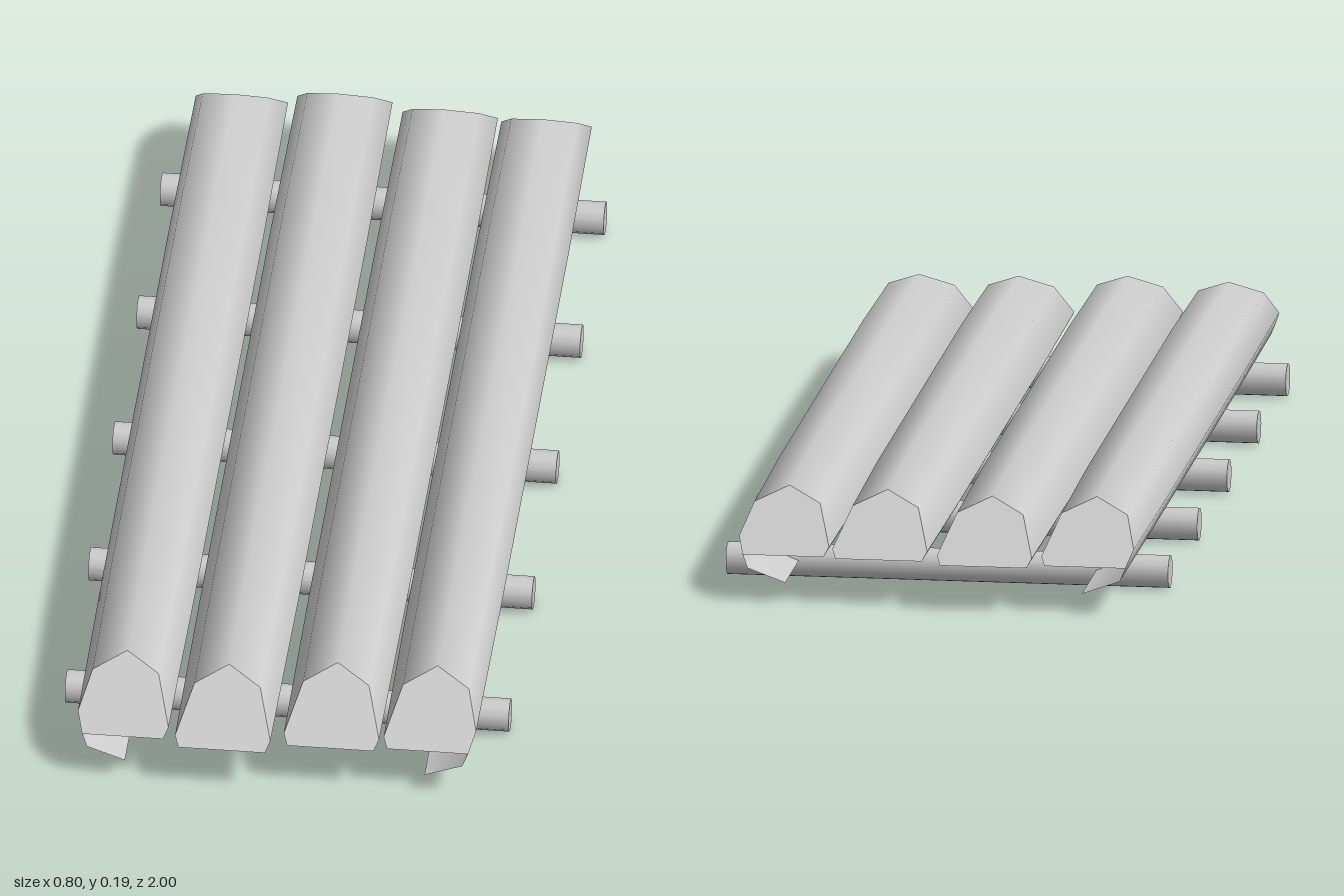
import * as THREE from 'three';

const material = new THREE.MeshStandardMaterial({ color: 0xcccccc, side: THREE.DoubleSide });

// Half-log sections, listed from the left bottom edge over the crown to the right
const innerSection = [
  [-0.08, 0.083], [-0.088, 0.097], [-0.061, 0.165], [0, 0.19],
  [0.061, 0.165], [0.088, 0.097], [0.08, 0.083],
];
// Outer logs wrap further round on their outside (-x here)
const outerSection = [
  [-0.01 + 0.02, 0.035], [-0.06, 0.06], [-0.07, 0.083], [-0.081, 0.11],
  ...innerSection.slice(2),
];
const CAP_Y = 0.083;

// The ends are sawn at a slant, furthest out at the bottom
const endZ = (y, half) => half - Math.max(y - CAP_Y, -0.005) * 1.2;

// Slight taper of the section towards the ends
function endPoint([x, y], half, side) {
  const py = y > 0.12 ? y - 0.005 : y;
  return [x * 0.975, py, side * endZ(py, half)];
}

function toMesh(name, positions, index) {
  const geometry = new THREE.BufferGeometry();
  geometry.setAttribute('position', new THREE.Float32BufferAttribute(positions.flat(), 3));
  geometry.setIndex(index);
  geometry.computeVertexNormals();
  const mesh = new THREE.Mesh(geometry, material);
  mesh.name = name;
  return mesh;
}

// Open bark shell lofted along z
function makeShell(section, half) {
  const rings = [
    section.map((p) => endPoint(p, half, 1)),
    section.map(([x, y]) => [x, y, 0.55]),
    section.map(([x, y]) => [x, y, -0.55]),
    section.map((p) => endPoint(p, half, -1)),
  ];
  const n = section.length;
  const index = [];
  for (let r = 0; r < rings.length - 1; r++) {
    for (let i = 0; i < n - 1; i++) {
      const a = r * n + i, b = a + 1, c = a + n, d = c + 1;
      index.push(a, b, c, b, d, c);
    }
  }
  return toMesh('barkShell', rings.flat(), index);
}

// Flat slanted end face, ending in a straight bottom edge
function makeCap(section, half, side) {
  const points = section.filter((p) => p[1] >= CAP_Y).map((p) => endPoint(p, half, side));
  const index = [];
  for (let i = 1; i < points.length - 1; i++) {
    index.push(0, ...(side > 0 ? [i + 1, i] : [i, i + 1]));
  }
  return toMesh(side > 0 ? 'frontEnd' : 'backEnd', points, index);
}

export function createModel() {
  const model = new THREE.Group();
  model.name = 'logRaft';

  // Four long logs: centre x, half length, section
  const mirrored = outerSection.map(([x, y]) => [-x, y]).reverse();
  const logs = [
    [-0.28, 0.978, outerSection],
    [-0.094, 1.0, innerSection],
    [0.099, 0.973, innerSection],
    [0.278, 0.963, mirrored],
  ];
  logs.forEach(([x, half, section], i) => {
    const log = new THREE.Group();
    log.name = `log${i + 1}`;
    log.position.x = x;
    log.add(makeShell(section, half), makeCap(section, half, 1), makeCap(section, half, -1));
    model.add(log);
  });

  // Five cross poles underneath
  const poleGeometry = new THREE.CylinderGeometry(0.03, 0.03, 0.8, 12).rotateZ(Math.PI / 2);
  [-0.765, -0.387, 0, 0.387, 0.763].forEach((z, i) => {
    const pole = new THREE.Mesh(poleGeometry, material);
    pole.name = `crossPole${i + 1}`;
    pole.position.set(0, 0.03, z);
    model.add(pole);
  });
  return model;
}
